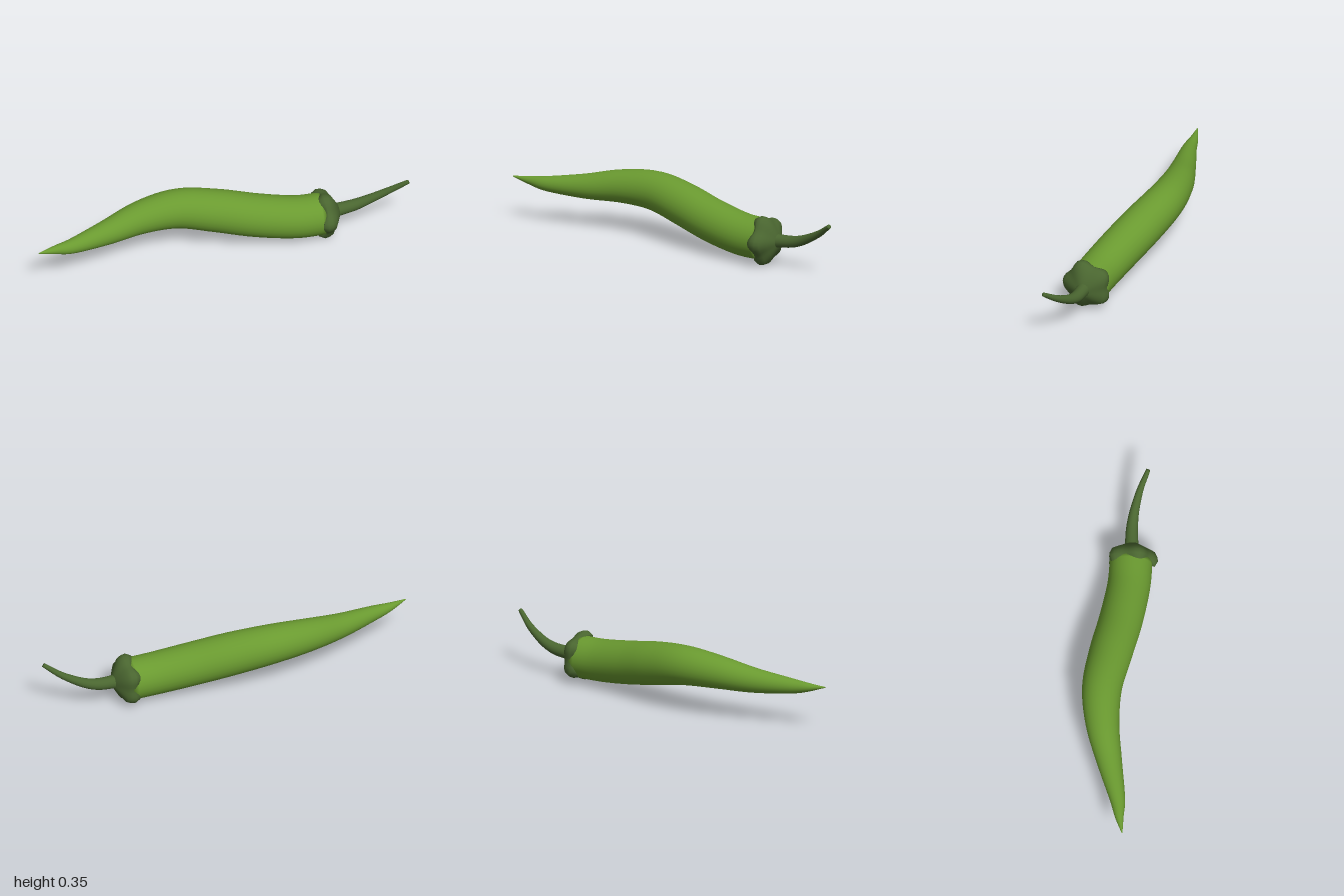
import * as THREE from 'three';

// Skin a list of rings (each an array of Vector3) running toward +x; ends closed by a centre point.
function skin(rings) {
  const n = rings[0].length, pos = [], idx = [];
  rings.forEach(ring => ring.forEach(p => pos.push(p.x, p.y, p.z)));
  for (let i = 0; i < rings.length - 1; i++) {
    for (let j = 0; j < n; j++) {
      const a = i * n + j, b = i * n + (j + 1) % n;
      idx.push(a, b, a + n, b, b + n, a + n);
    }
  }
  for (const end of [0, rings.length - 1]) {
    const c = rings[end].reduce((s, p) => s.add(p), new THREE.Vector3()).divideScalar(n);
    const ci = pos.length / 3;
    pos.push(c.x, c.y, c.z);
    for (let j = 0; j < n; j++) {
      const a = end * n + j, b = end * n + (j + 1) % n;
      if (end === 0) idx.push(ci, b, a); else idx.push(ci, a, b);
    }
  }
  const g = new THREE.BufferGeometry();
  g.setAttribute('position', new THREE.Float32BufferAttribute(pos, 3));
  g.setIndex(idx);
  g.computeVertexNormals();
  return g;
}

// Round tube of changing radius through stations [x, y, z, radius]
function taperedTube(stations, steps, sides) {
  const path = new THREE.CatmullRomCurve3(
    stations.map(s => new THREE.Vector3(s[0], s[1], s[2])), false, 'catmullrom', 0.5);
  const radii = new THREE.CatmullRomCurve3(
    stations.map((s, i) => new THREE.Vector3(i, s[3], 0)), false, 'catmullrom', 0.5);
  const rings = [];
  for (let i = 0; i <= steps; i++) {
    const t = i / steps, c = path.getPoint(t), r = radii.getPoint(t).y;
    const tan = path.getTangent(t);
    const up = new THREE.Vector3(0, 1, 0).addScaledVector(tan, -tan.y).normalize();
    const side = new THREE.Vector3().crossVectors(tan, up);
    rings.push(Array.from({ length: sides }, (_, j) => {
      const a = j / sides * Math.PI * 2;
      return c.clone().addScaledVector(up, r * Math.cos(a)).addScaledVector(side, r * Math.sin(a));
    }));
  }
  return skin(rings);
}

// Five-lobed cap; each row is [x, radius, lobe depth, backward sweep of the lobes]
function lobedCap(rows, cy, cz, sides) {
  return skin(rows.map(([x, r, lobe, sweep]) => Array.from({ length: sides }, (_, j) => {
    const a = j / sides * Math.PI * 2;
    const w = Math.cos(5 * (a - Math.PI / 2));
    const rr = r * (1 + lobe * w);
    return new THREE.Vector3(x - sweep * w, cy + rr * Math.cos(a), cz + rr * Math.sin(a));
  })));
}

export function createModel() {
  const podGreen = new THREE.MeshStandardMaterial({ color: 0x6a9a30 });
  podGreen.name = 'podGreen';
  const stemGreen = new THREE.MeshStandardMaterial({ color: 0x4a6630 });
  stemGreen.name = 'stemGreen';

  const model = new THREE.Group();
  model.name = 'chiliPepper';
  const add = (name, geometry, material) => {
    const mesh = new THREE.Mesh(geometry, material);
    mesh.name = name;
    model.add(mesh);
  };

  // Curved pod, from pointed tip to shoulder
  add('pod', taperedTube([
    [-1, 0.235, 0.045, 0.002],
    [-0.9, 0.223, 0.027, 0.024],
    [-0.8, 0.217, 0.014, 0.041],
    [-0.6, 0.224, -0.033, 0.066],
    [-0.4, 0.245, -0.075, 0.088],
    [-0.2, 0.248, -0.083, 0.104],
    [0, 0.215, -0.045, 0.113],
    [0.2, 0.172, 0.002, 0.114],
    [0.4, 0.14, 0.037, 0.112],
    [0.55, 0.134, 0.046, 0.111],
  ], 54, 28), podGreen);

  // Lobed calyx over the shoulder
  add('calyx', lobedCap([
    [0.532, 0.106, 0.03, 0.012],
    [0.528, 0.115, 0.05, 0.012],
    [0.546, 0.124, 0.095, 0.003],
    [0.565, 0.122, 0.09, 0],
    [0.588, 0.112, 0.085, 0],
    [0.61, 0.075, 0.06, 0],
    [0.632, 0.036, 0, 0],
  ], 0.135, 0.049, 40), stemGreen);

  // Upswept stem
  add('stem', taperedTube([
    [0.6, 0.138, 0.046, 0.042],
    [0.64, 0.14, 0.045, 0.035],
    [0.72, 0.148, 0.045, 0.031],
    [0.8, 0.174, 0.054, 0.025],
    [0.9, 0.226, 0.08, 0.018],
    [0.97, 0.275, 0.111, 0.013],
    [0.992, 0.291, 0.121, 0.011],
  ], 24, 16), stemGreen);

  return model;
}
